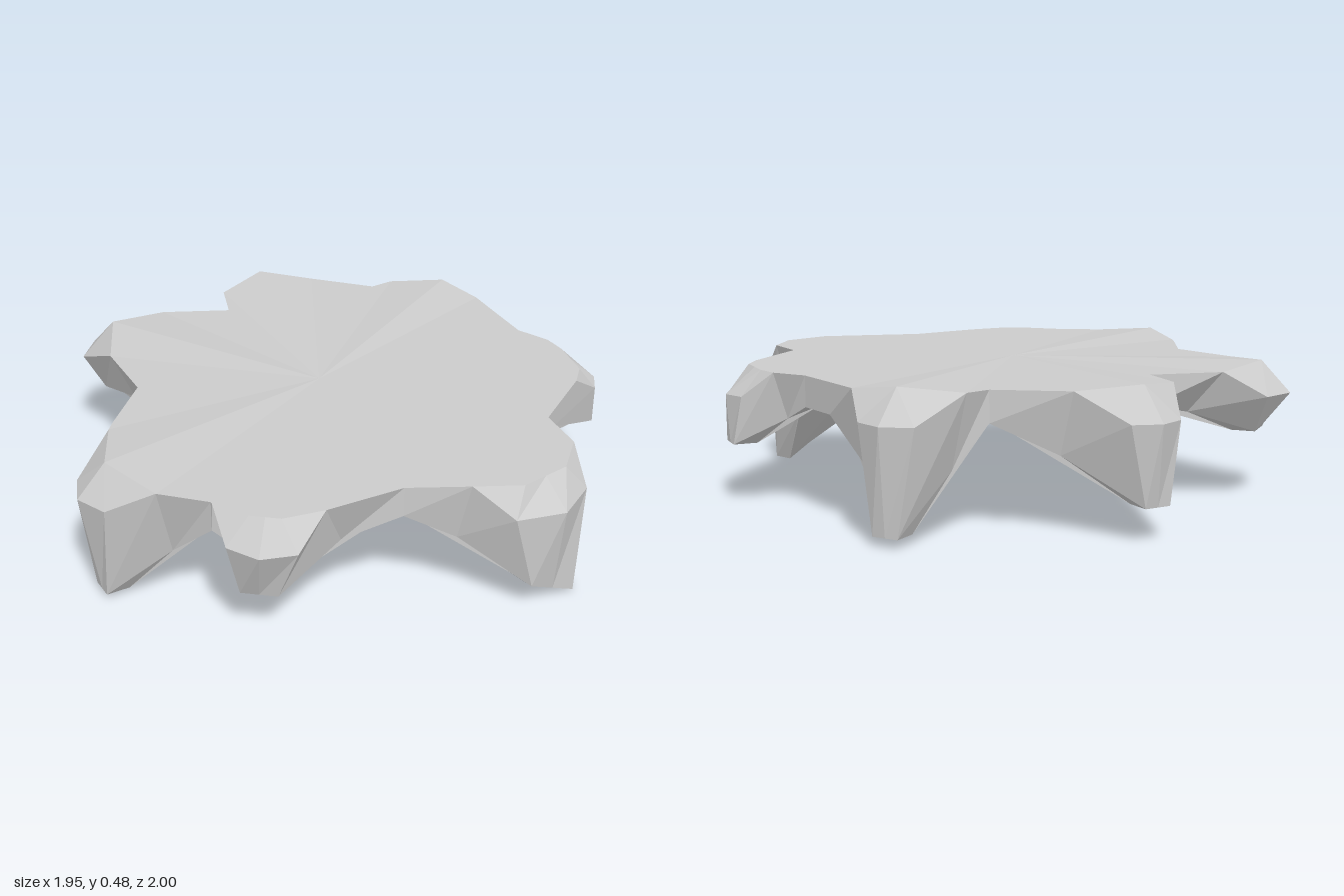
import * as THREE from 'three';

const TOP = 0.458;        // height of the flat top
const RIM = 0.372;        // height of the outer edge of each lobe
const LOW = 0.355;        // height of the underside
const CREST_INSET = 0.1;  // distance from a lobe's tip back to its crest
const FOOT_DEPTH = 0.04;  // half depth of a drip's end
const BASE_SCALE = 0.94;  // how far the drips' inner faces reach inwards

// Notches between the lobes: [x, z]
const notches = {
  backLeft: [-0.05, -0.66], backRight: [0.55, -0.6],
  rightBack: [0.85, -0.17], right: [0.84, 0],
  frontRight: [0.55, 0.6], front: [-0.1, 0.76], frontLeft: [-0.66, 0.56],
  left: [-0.75, -0.04], leftBack: [-0.59, -0.23],
};

// Lobes, clockwise from the back as seen from above. Points are [x, z].
// start and end: shoulders; width: half width at the rim; foot: [x, y, z, half width].
// crest: half width of a level crest (others rise to a point); lean: slope of the foot.
const lobes = [
  { from: 'backLeft', to: 'backRight', start: [0, -0.82], end: [0.37, -0.78],
    tip: [0.21, -1], width: 0.09, foot: [0.18, 0.11, -0.915, 0.045] },
  { from: 'backRight', to: 'rightBack', start: [0.64, -0.61], end: [0.86, -0.32],
    tip: [0.9, -0.53], width: 0.1, foot: [0.83, 0.03, -0.49, 0.045] },
  { from: 'right', to: 'frontRight', start: [0.89, 0.12], end: [0.79, 0.43],
    tip: [0.97, 0.305], width: 0.08, foot: [0.925, 0.21, 0.285, 0.045], crest: 0.08 },
  { from: 'frontRight', to: 'front', start: [0.53, 0.77], end: [0.09, 0.85],
    tip: [0.345, 1], width: 0.155, foot: [0.35, 0.05, 0.91, 0.1], crest: 0.09, lean: 0.05 },
  { from: 'front', to: 'frontLeft', start: [-0.37, 0.76], end: [-0.66, 0.57],
    tip: [-0.61, 0.79], width: 0.11, foot: [-0.55, 0.18, 0.675, 0.06], crest: 0.05 },
  { from: 'frontLeft', to: 'left', start: [-0.79, 0.44], end: [-0.78, 0],
    tip: [-0.975, 0.23], width: 0.11, foot: [-0.885, 0.02, 0.24, 0.04] },
  { from: 'leftBack', to: 'backLeft', start: [-0.59, -0.5], end: [-0.28, -0.76],
    tip: [-0.545, -0.815], width: 0.125, foot: [-0.485, 0.24, -0.68, 0.06] },
];

const vec = (x, y, z) => new THREE.Vector3(x, y, z);

function notchPoint(name, y, scale = 1) {
  const [x, z] = notches[name];
  return vec(x * scale, y, z * scale);
}

// Cross-sections run top, rim, outer foot, inner foot, underside
function notchSection(name) {
  const top = notchPoint(name, TOP), low = notchPoint(name, LOW);
  return [top, top, low, low, notchPoint(name, LOW, BASE_SCALE)];
}

function lobeSections({ from, to, start, end, tip, width, foot, crest = 0, lean = 0 }) {
  const shoulders = [start, end].map(([x, z]) => vec(x, TOP, z));
  const rimTip = vec(tip[0], RIM, tip[1]);
  const out = rimTip.clone().sub(shoulders[0].clone().lerp(shoulders[1], 0.5)).setY(0).normalize();
  const along = vec(-out.z, 0, out.x);
  const place = (p, side, forward) =>
    p.clone().addScaledVector(along, side).addScaledVector(out, forward);

  // side runs from -1 to 1 across the lobe
  const section = (side) => {
    const base = vec(foot[0], foot[1] + side * lean, foot[2]);
    return [
      place(rimTip, side * crest, -CREST_INSET).setY(crest ? TOP : TOP + 0.02),
      place(rimTip, side * width, -0.4 * width * Math.abs(side)),
      place(base, side * foot[3], FOOT_DEPTH),
      place(base, side * foot[3], -FOOT_DEPTH),
      notchPoint(from, LOW, BASE_SCALE).lerp(notchPoint(to, LOW, BASE_SCALE), (side + 1) / 2),
    ];
  };

  // The web under a shoulder sits on the drip's inner edge, halfway up
  const shoulderSection = (shoulder, [, , , inner, under]) => {
    const web = inner.clone().lerp(under, 0.5);
    web.y += 0.02;
    return [shoulder, shoulder, web, web, under];
  };

  const first = section(-1), last = section(1);
  return [shoulderSection(shoulders[0], first), first, section(0), last,
    shoulderSection(shoulders[1], last)];
}

function meshFrom(name, triangles, material) {
  const solid = triangles.filter((t) => new THREE.Triangle(...t).getArea() > 1e-7);
  const geometry = new THREE.BufferGeometry().setFromPoints(solid.flat());
  geometry.computeVertexNormals();
  const mesh = new THREE.Mesh(geometry, material);
  mesh.name = name;
  return mesh;
}

// Skin between neighbouring cross-sections
function skin(sections) {
  const triangles = [];
  for (let i = 0; i + 1 < sections.length; i++) {
    const a = sections[i], b = sections[i + 1];
    for (let r = 0; r + 1 < a.length; r++) {
      triangles.push([a[r], b[r], b[r + 1]], [a[r], b[r + 1], a[r + 1]]);
    }
  }
  return triangles;
}

export function createModel() {
  const group = new THREE.Group();
  group.name = 'drippingSlab';
  const material = new THREE.MeshStandardMaterial({ color: 0xcccccc, flatShading: true });

  // Seven dripping lobes around the slab
  const ring = [];
  for (const lobe of lobes) {
    const sections = [notchSection(lobe.from), ...lobeSections(lobe), notchSection(lobe.to)];
    group.add(meshFrom('drip', skin(sections), material));
    ring.push(...sections);
  }

  // Plain walls where two notches meet
  for (const pair of [['left', 'leftBack'], ['rightBack', 'right']]) {
    group.add(meshFrom('sideWall', skin(pair.map(notchSection)), material));
  }

  // Flat top and underside, fanned from the middle
  const topFan = [], bottomFan = [];
  ring.forEach((a, i) => {
    const b = ring[(i + 1) % ring.length];
    topFan.push([vec(0, TOP, 0), b[0], a[0]]);
    bottomFan.push([vec(0, LOW, 0), a[4], b[4]]);
  });
  group.add(meshFrom('topSurface', topFan, material));
  group.add(meshFrom('underside', bottomFan, material));
  return group;
}
